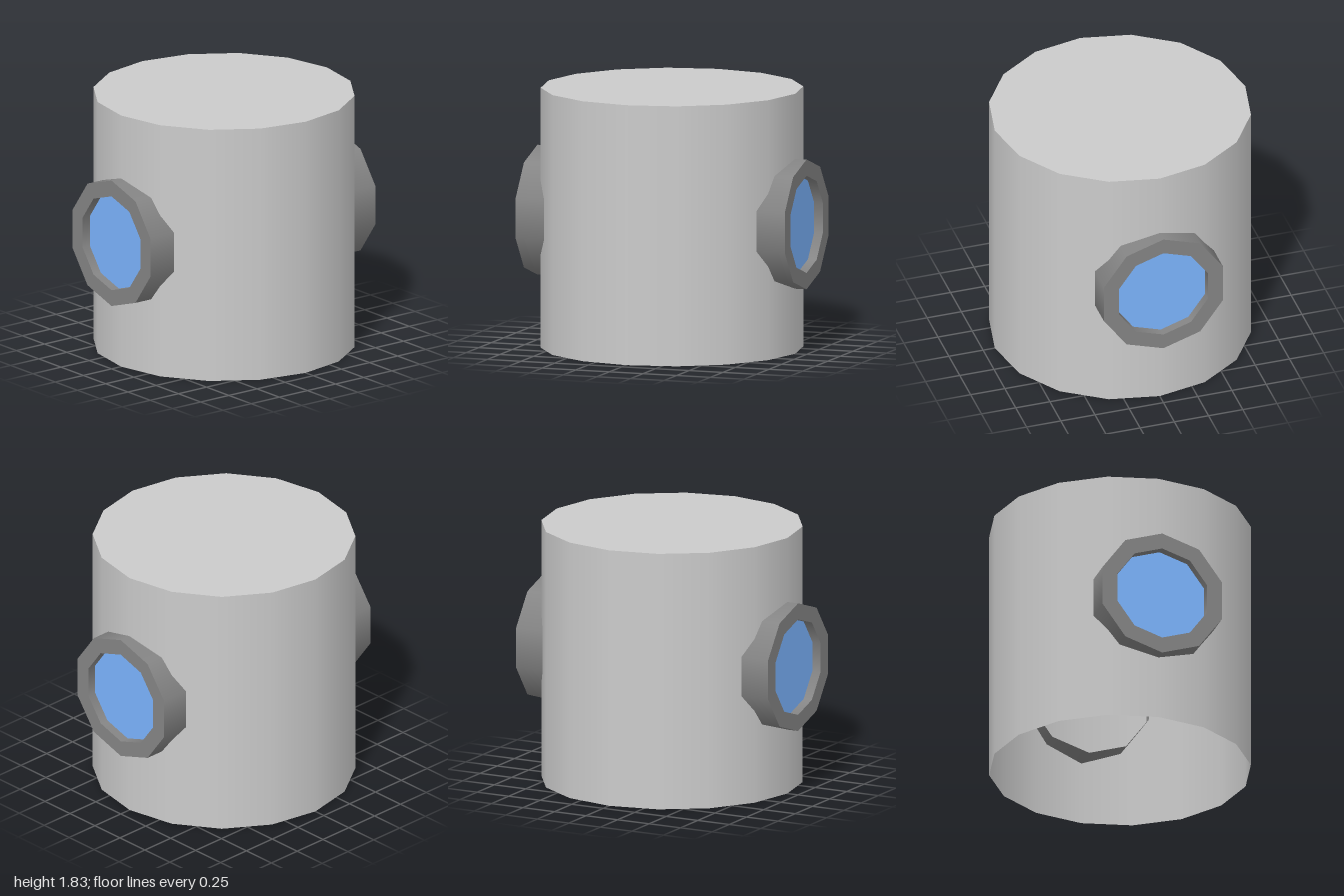
import * as THREE from 'three';

const R = 0.915, H = 1.83;          // drum radius and height
const OUTER = 0.457, INNER = 0.342; // window frame radii
const Z_IN = 0.73, Z_PANE = 0.935, Z_OUT = 1;
const SIDES = 10;

const material = (color) => new THREE.MeshStandardMaterial({ color, side: THREE.DoubleSide });
const bodyMat = material(0xcccccc);
const frameMat = material(0x858585);
const glassMat = material(0x7cb5ff);

function addMesh(parent, name, geometry, mat) {
  const mesh = new THREE.Mesh(geometry, mat);
  mesh.name = name;
  parent.add(mesh);
  return mesh;
}

// Open ten-sided tube along z
function tube(radius, z0, z1) {
  return new THREE.CylinderGeometry(radius, radius, z1 - z0, SIDES, 1, true)
    .rotateX(Math.PI / 2)
    .translate(0, 0, (z0 + z1) / 2);
}

// Round window: outer sleeve, flat rim, recessed bore and pane
function createWindow(name) {
  const group = new THREE.Group();
  group.name = name;
  addMesh(group, 'frameSleeve', tube(OUTER, Z_IN, Z_OUT), frameMat);
  addMesh(group, 'frameRim',
    new THREE.RingGeometry(INNER, OUTER, SIDES, 1, Math.PI / 2).translate(0, 0, Z_OUT), frameMat);
  addMesh(group, 'frameBore', tube(INNER, Z_PANE, Z_OUT), frameMat);
  addMesh(group, 'windowPane',
    new THREE.CircleGeometry(INNER, SIDES, Math.PI / 2).translate(0, 0, Z_PANE), glassMat);
  group.position.y = H / 2;
  return group;
}

export function createModel() {
  const model = new THREE.Group();
  model.name = 'drumWithWindows';

  // Drum wall, open underneath, closed by a flat lid
  addMesh(model, 'drumWall',
    new THREE.CylinderGeometry(R, R, H, 16, 1, true).translate(0, H / 2, 0), bodyMat);
  addMesh(model, 'drumLid',
    new THREE.CircleGeometry(R, 16).rotateX(-Math.PI / 2).translate(0, H, 0), bodyMat);

  // Matching windows front and back
  model.add(createWindow('frontWindow'));
  const back = createWindow('backWindow');
  back.rotation.y = Math.PI;
  model.add(back);
  return model;
}
